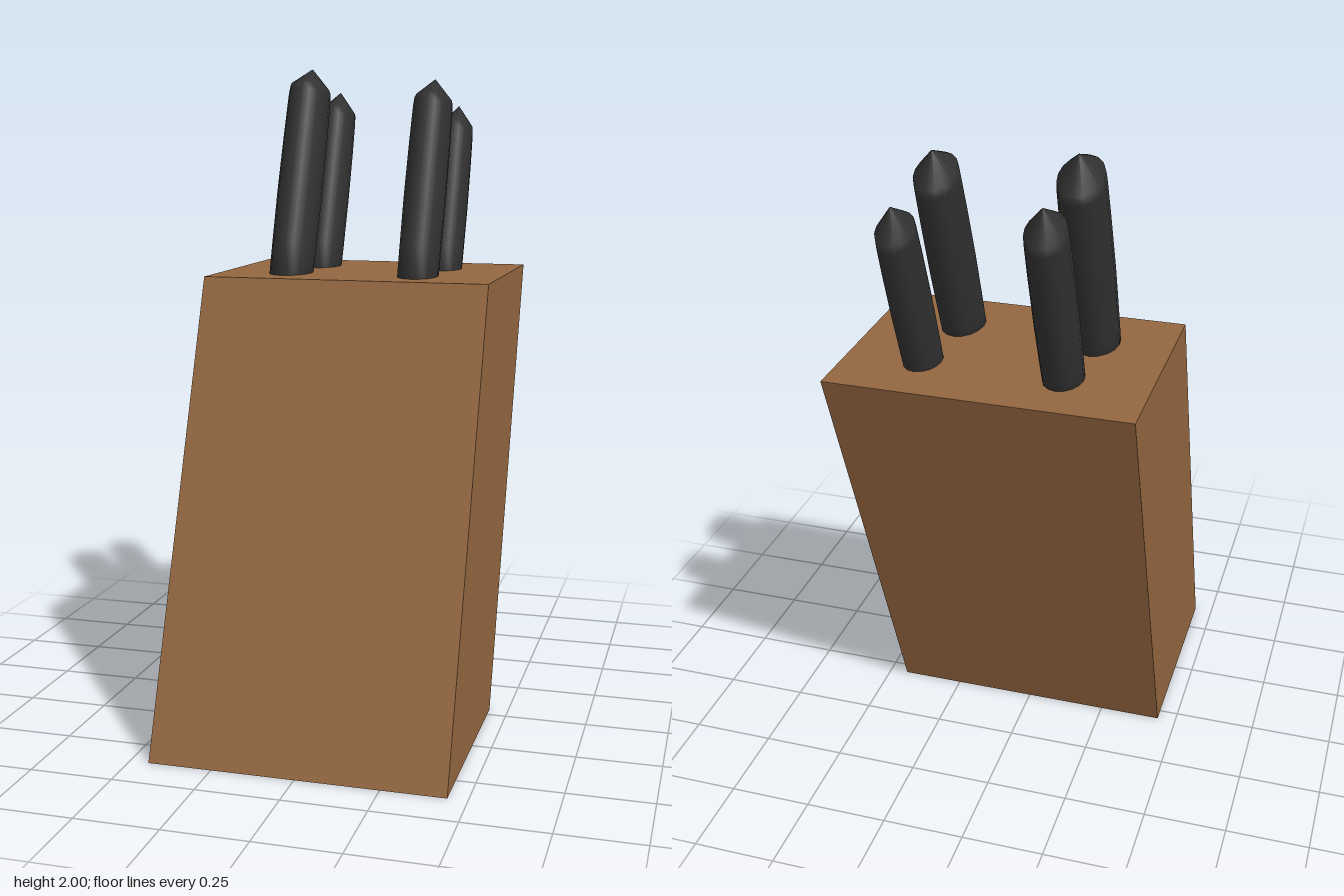
import * as THREE from 'three';

const HEIGHT = 1.365;
const SLOPE = 0.381; // backward lean of block and handles, z per y

const wood = new THREE.MeshStandardMaterial({ color: 0x93663f });
wood.name = 'wood';
const black = new THREE.MeshStandardMaterial({ color: 0x303030 });
black.name = 'handleBlack';

// Oval, slightly swollen handle with a conical cap; its tip is at the origin.
function makeHandle(name, [x, y, z], halfWidth, halfDepth) {
  const length = (y - HEIGHT) * Math.hypot(1, SLOPE) + 0.08;
  const profile = [
    [0, -length], [0.95, -length], [0.98, -length * 0.8], [1, -length * 0.55],
    [0.98, -length * 0.3], [0.95, -0.1], [0.92, -0.072], [0, 0],
  ].map(([r, h]) => new THREE.Vector2(r, h));
  const geometry = new THREE.LatheGeometry(profile, 16);
  geometry.scale(halfWidth, 1, halfDepth);
  const handle = new THREE.Mesh(geometry, black);
  handle.name = name;
  handle.rotation.x = -Math.atan(SLOPE);
  handle.position.set(x, y, z);
  return handle;
}

export function createModel() {
  const model = new THREE.Group();
  model.name = 'knifeBlock';

  // Leaning block: a box sheared backwards
  const geometry = new THREE.BoxGeometry(0.884, HEIGHT, 0.66);
  geometry.translate(0, HEIGHT / 2, 0.289);
  geometry.applyMatrix4(new THREE.Matrix4().makeShear(0, 0, 0, -SLOPE, 0, 0));
  const block = new THREE.Mesh(geometry, wood);
  block.name = 'block';
  model.add(block);

  // Four knife handles, the front pair larger
  model.add(
    makeHandle('frontRightHandle', [-0.222, 2.0, -0.337], 0.068, 0.098),
    makeHandle('frontLeftHandle', [0.19, 1.965, -0.308], 0.064, 0.093),
    makeHandle('rearRightHandle', [-0.192, 1.93, -0.567], 0.059, 0.083),
    makeHandle('rearLeftHandle', [0.219, 1.885, -0.548], 0.055, 0.078),
  );
  return model;
}
